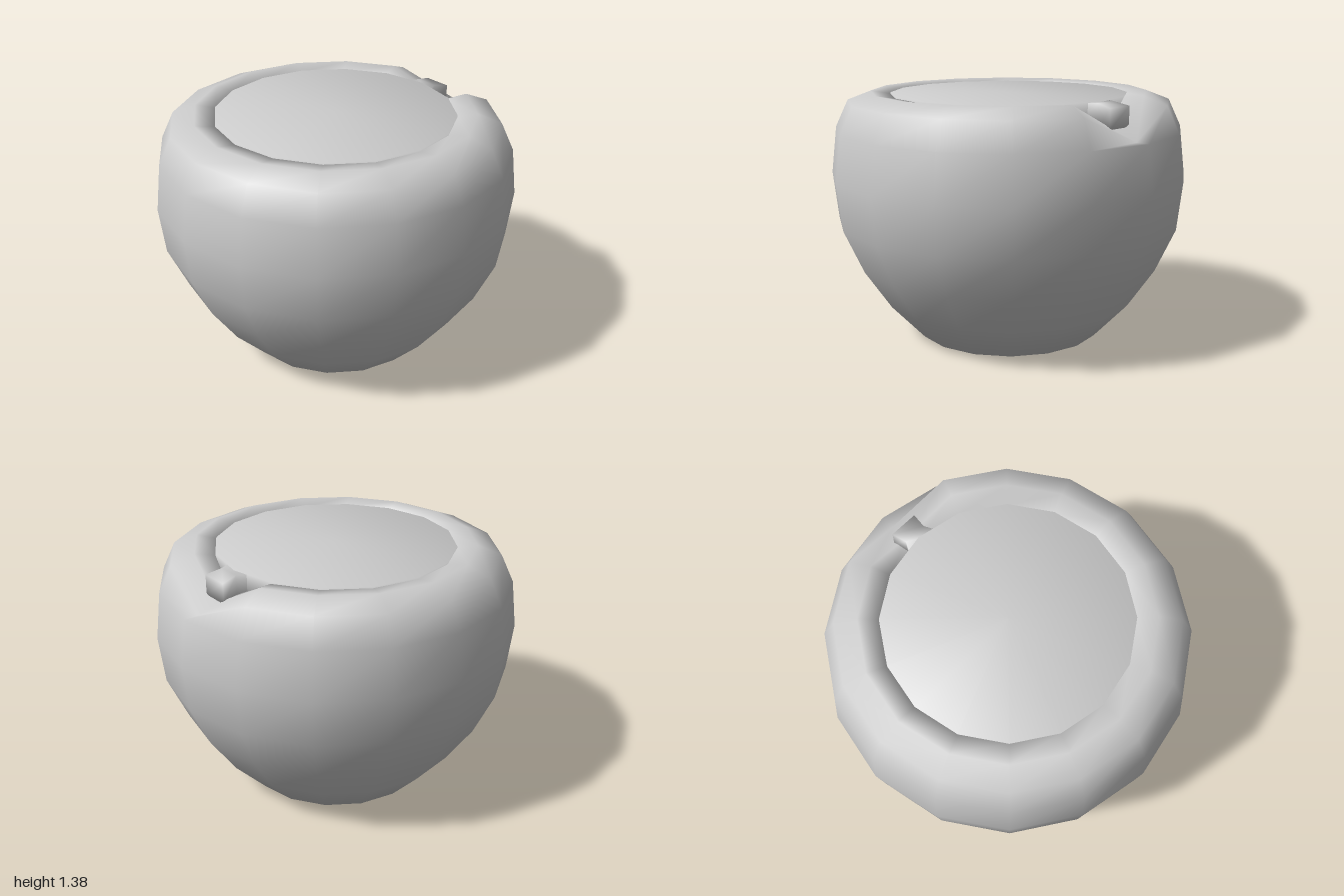
import * as THREE from 'three';
import { mergeVertices } from 'three/addons/utils/BufferGeometryUtils.js';

const SIDES = 16;
const material = new THREE.MeshStandardMaterial({ color: 0xcccccc, side: THREE.DoubleSide });

// Base, outer wall, rolled rim and inner lip as [radius, height]
const SHELL = [
  [0, 0], [0.52, 0], [0.71, 0.2], [0.86, 0.42], [0.97, 0.66], [1, 0.92], [0.97, 1.18],
  [0.9, 1.33], [0.77, 1.38], [0.66, 1.362], [0.62, 1.2],
];

// Rim points pulled down on the +x side to form the pouring notch: row -> [x, y]
const NOTCH = { 7: [0.89, 1.18], 8: [0.77, 1.22], 9: [0.7, 1.23], 10: [0.64, 1.15] };

// Filling, a shallow smooth-shaded disc level with the rim
const FILLING = [[0, 1.22], [0.66, 1.22], [0.66, 1.37], [0, 1.37]];

// Tongue sections: x, bottom, top, half width
const TONGUE = [[0.58, 1.24, 1.366, 0.12], [0.69, 1.24, 1.368, 0.065], [0.78, 1.24, 1.35, 0.08]];

const lathe = (profile) =>
  new THREE.LatheGeometry(profile.map(([r, y]) => new THREE.Vector2(r, y)), SIDES);

// Weld the seam and share normals across all faces
function smooth(geometry) {
  geometry.deleteAttribute('uv');
  geometry.deleteAttribute('normal');
  const merged = mergeVertices(geometry, 1e-4);
  merged.computeVertexNormals();
  return merged;
}

function addMesh(group, name, geometry) {
  const mesh = new THREE.Mesh(geometry, material);
  mesh.name = name;
  group.add(mesh);
}

export function createModel() {
  const group = new THREE.Group();
  group.name = 'bowl';

  // Bowl shell with notch, mirrored so the quads split along the other diagonal
  const shell = lathe(SHELL);
  const notchColumn = (SIDES / 4) * SHELL.length;
  for (const [row, [x, y]] of Object.entries(NOTCH)) {
    shell.attributes.position.setXYZ(notchColumn + Number(row), x, y, 0);
  }
  shell.scale(1, 1, -1);
  shell.index.array.reverse();
  addMesh(group, 'bowlShell', smooth(shell));

  addMesh(group, 'filling', smooth(lathe(FILLING)));

  // Tongue of the filling running out through the notch
  const positions = [];
  const index = [];
  TONGUE.forEach(([x, low, high, w], i) => {
    positions.push(x, low, w, x, low, -w, x, high, -w, x, high, w);
    if (i === 0) return;
    const start = (i - 1) * 4;
    for (let k = 0; k < 4; k++) {
      const a = start + k, b = start + ((k + 1) % 4);
      index.push(a, b, a + 4, b, b + 4, a + 4);
    }
  });
  const end = (TONGUE.length - 1) * 4;
  index.push(end, end + 1, end + 2, end, end + 2, end + 3);
  const tongue = new THREE.BufferGeometry();
  tongue.setAttribute('position', new THREE.Float32BufferAttribute(positions, 3));
  tongue.setIndex(index);
  tongue.computeVertexNormals();
  addMesh(group, 'spoutTongue', tongue);

  return group;
}
